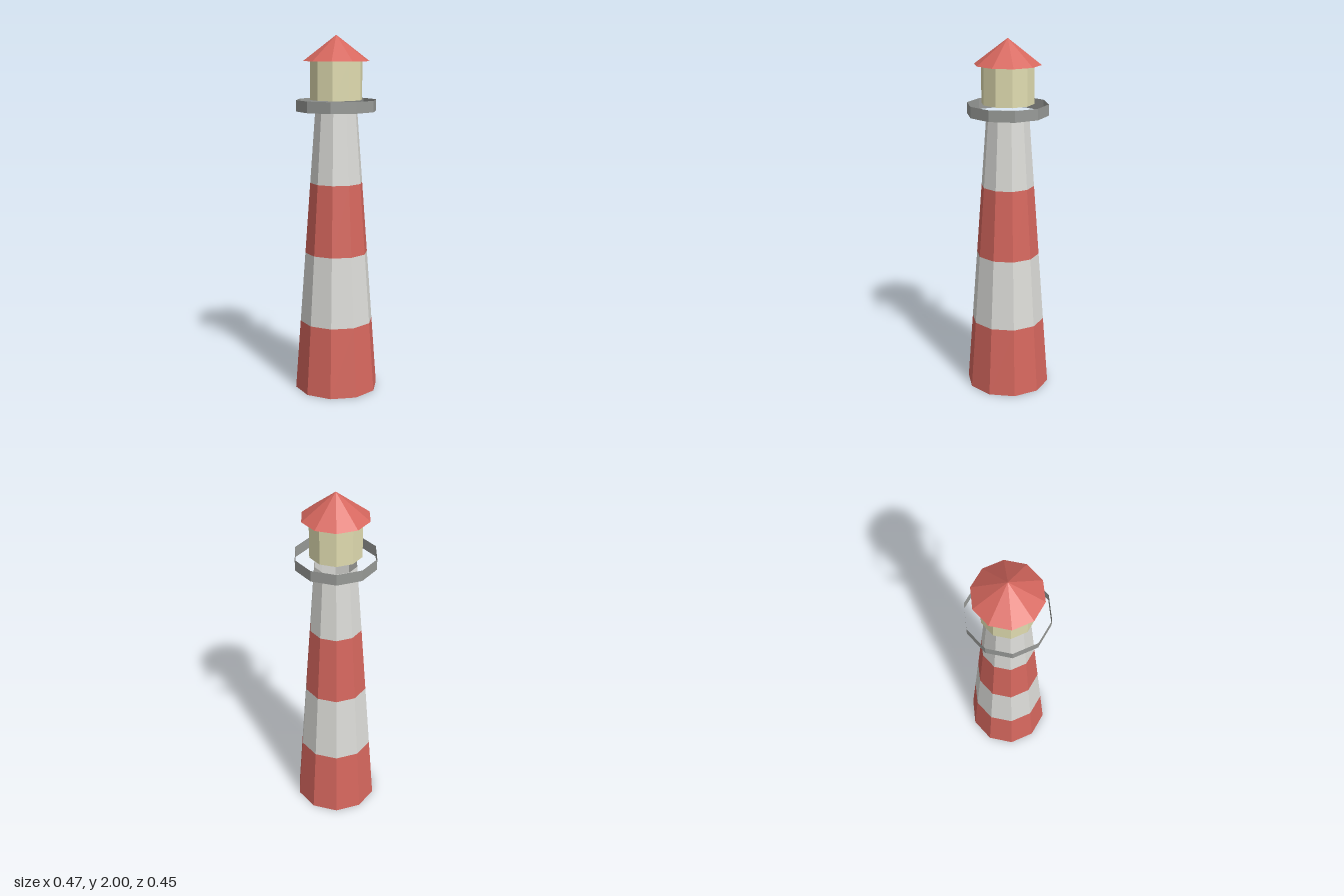
import * as THREE from 'three';

const SIDES = 10;

function flat(name, color) {
  return new THREE.MeshStandardMaterial({ name, color, flatShading: true, side: THREE.DoubleSide });
}

// Open ten-sided tube or cone between two heights, with corners on the x axis
function shell(name, material, y0, y1, r0, r1) {
  const geometry = new THREE.CylinderGeometry(r1, r0, y1 - y0, SIDES, 1, true, Math.PI / SIDES);
  geometry.translate(0, (y0 + y1) / 2, 0);
  const mesh = new THREE.Mesh(geometry, material);
  mesh.name = name;
  return mesh;
}

export function createModel() {
  const model = new THREE.Group();
  model.name = 'lighthouse';

  const red = flat('red paint', 0xd6675e);
  const white = flat('off-white paint', 0xdcdcd8);
  const grey = flat('railing grey', 0x989a97);
  const cream = flat('lantern cream', 0xe0dcb0);

  // Tapering tower in four equal bands
  const bands = 4, height = 1.588, rBase = 0.236, rTop = 0.118;
  const radius = (t) => rBase + (rTop - rBase) * t;
  for (let i = 0; i < bands; i++) {
    const a = i / bands, b = (i + 1) / bands;
    model.add(shell(`towerBand${i + 1}`, i % 2 ? white : red, a * height, b * height, radius(a), radius(b)));
  }

  // Gallery railing, lantern room and roof
  model.add(shell('galleryRailing', grey, height, 1.65, 0.224, 0.224));
  model.add(shell('lanternRoom', cream, 1.65, 1.86, 0.145, 0.145));
  model.add(shell('roof', red, 1.86, 2, 0.184, 0));

  return model;
}
